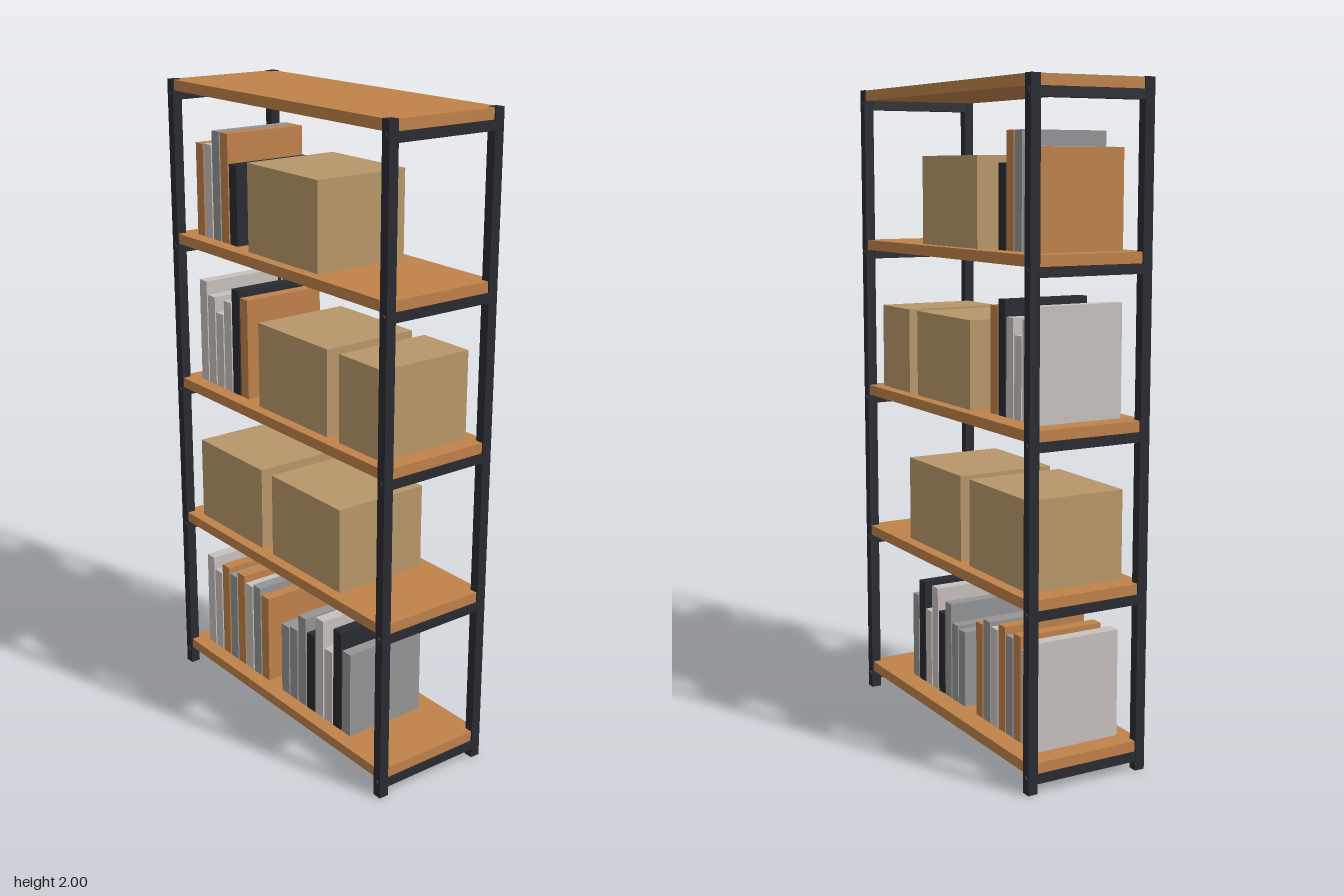
import * as THREE from 'three';

const mat = (name, color) => {
  const m = new THREE.MeshStandardMaterial({ color });
  m.name = name;
  return m;
};

export function createModel() {
  const wood = mat('orange wood', 0xc0824a);
  const metal = mat('dark metal', 0x2a2b32);
  const card = mat('cardboard', 0xb8976a);
  const grey = mat('grey cover', 0x949496);
  const pale = mat('pale cover', 0xc6c1bd);
  const model = new THREE.Group();
  model.name = 'bookshelf';

  // Box given by its size, centre in x and z, and bottom height
  function box(name, w, h, d, x, y, z, material, parent = model) {
    const mesh = new THREE.Mesh(new THREE.BoxGeometry(w, h, d), material);
    mesh.name = name;
    mesh.position.set(x, y + h / 2, z);
    parent.add(mesh);
    return mesh;
  }

  const shelfTops = [0.09, 0.5675, 1.045, 1.5225, 1.999];
  const boardThick = 0.032;

  // Corner posts
  for (const sx of [-1, 1])
    for (const sz of [-1, 1])
      box('post', 0.03, 2, 0.031, sx * 0.518, 0, sz * 0.1835, metal);

  // Boards with a side rail under each end and bolts through the posts
  const boltGeo = new THREE.CylinderGeometry(0.009, 0.009, 0.005, 8).rotateX(Math.PI / 2);
  for (const top of shelfTops) {
    box('board', 1.056, boardThick, 0.388, 0, top - boardThick, 0, wood);
    for (const sx of [-1, 1]) {
      box('sideRail', 0.03, 0.029, 0.34, sx * 0.5175, top - boardThick - 0.029, 0, metal);
      for (const sz of [-1, 1]) {
        const bolt = new THREE.Mesh(boltGeo, metal);
        bolt.name = 'bolt';
        bolt.position.set(sx * 0.518, top - boardThick - 0.012, sz * 0.2);
        model.add(bolt);
      }
    }
  }

  // Storage boxes: shelf index, left edge, right edge
  const boxes = [
    [1, -0.46, -0.116], [1, -0.06, 0.283],
    [2, -0.122, 0.222], [2, 0.278, 0.469],
    [3, -0.167, 0.177],
  ];
  for (const [shelf, x0, x1] of boxes)
    box('storageBox', x1 - x0, 0.267, 0.317, (x0 + x1) / 2, shelfTops[shelf], 0.001, card);

  // Rows of books: each cover letter with a height
  const covers = { o: wood, d: metal, g: grey, p: pale };
  const rows = [
    [0, -0.462, 'ppogopgo', [0.326, 0.286, 0.322, 0.305, 0.326, 0.305, 0.316, 0.297]],
    [0, -0.033, 'gggdppdg', [0.241, 0.249, 0.308, 0.265, 0.337, 0.249, 0.335, 0.28]],
    [2, -0.462, 'ppppdo', [0.332, 0.29, 0.242, 0.29, 0.338, 0.318]],
    [3, -0.462, 'opgod', [0.288, 0.29, 0.335, 0.335, 0.246]],
  ];
  for (const [shelf, x0, letters, heights] of rows) {
    const row = new THREE.Group();
    row.name = 'bookRow';
    model.add(row);
    heights.forEach((h, i) =>
      box('book', 0.039, h, 0.278, x0 + 0.0195 + i * 0.0453, shelfTops[shelf], 0.009, covers[letters[i]], row));
  }
  return model;
}
